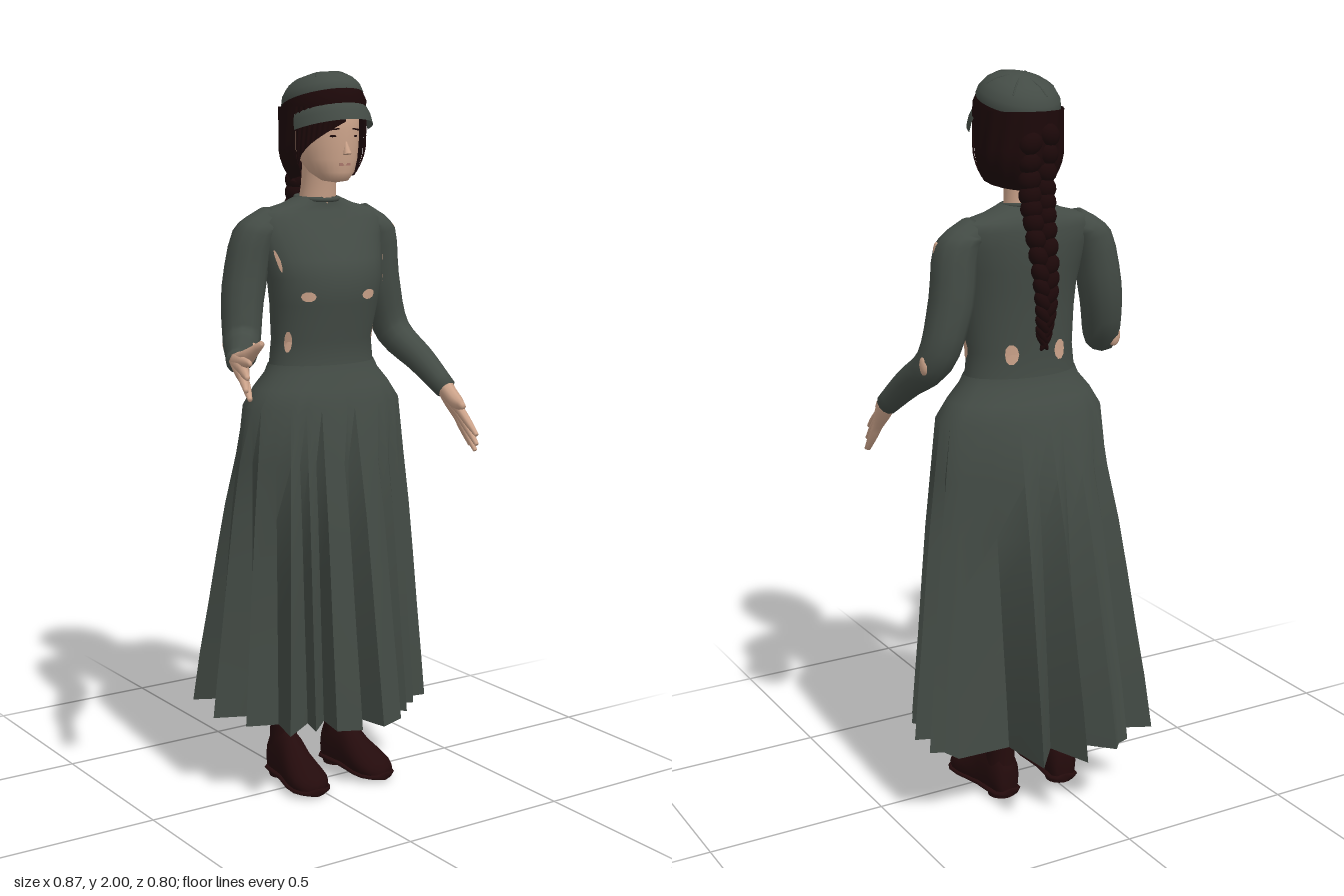
import * as THREE from 'three';
import { toCreasedNormals } from 'three/addons/utils/BufferGeometryUtils.js';
import { ParametricGeometry } from 'three/addons/geometries/ParametricGeometry.js';

const V = (x, y, z) => new THREE.Vector3(x, y, z);

function createMaterial(name, color, side = THREE.FrontSide) {
  const m = new THREE.MeshStandardMaterial({ color, side });
  m.name = name;
  return m;
}

// Skin a series of closed rings of equal length.
function loft(rings) {
  const n = rings[0].length, index = [];
  for (let i = 0; i < rings.length - 1; i++) {
    for (let j = 0; j < n; j++) {
      const k = (j + 1) % n, a = i * n + j, b = i * n + k;
      index.push(a, b, b + n, a, b + n, a + n);
    }
  }
  const geo = new THREE.BufferGeometry().setFromPoints(rings.flat());
  geo.setIndex(index);
  geo.computeVertexNormals();
  return geo;
}

// Horizontal ellipse from [y, centre x, centre z, radius x, radius z].
const ellipsePoint = ([y, cx, cz, rx, rz], a) => V(cx + rx * Math.sin(a), y, cz + rz * Math.cos(a));
const ellipse = (s, n = 28) => Array.from({ length: n }, (_, i) => ellipsePoint(s, i / n * Math.PI * 2));
const stack = (sections) => loft(sections.map((s) => ellipse(s)));

// Tapered round tube with closed ends.
function limb(points, radii, steps = 18, sides = 12) {
  const curve = new THREE.CatmullRomCurve3(points), frames = curve.computeFrenetFrames(steps);
  const rings = [];
  const ring = (i, scale) => {
    const t = i / steps, f = t * (radii.length - 1), k = Math.min(Math.floor(f), radii.length - 2);
    const r = THREE.MathUtils.lerp(radii[k], radii[k + 1], f - k) * scale, c = curve.getPoint(t);
    rings.push(Array.from({ length: sides }, (_, j) => {
      const a = j / sides * Math.PI * 2;
      return c.clone().addScaledVector(frames.normals[i], Math.cos(a) * r)
        .addScaledVector(frames.binormals[i], Math.sin(a) * r);
    }));
  };
  ring(0, 0.01);
  for (let i = 0; i <= steps; i++) ring(i, 1);
  ring(steps, 0.01);
  return loft(rings);
}

// Torso sections, from waist to neckline.
const TORSO = [
  [1.17, .075, -.04, .17, .108], [1.22, .075, -.04, .16, .1], [1.28, .075, -.04, .153, .1],
  [1.38, .078, -.03, .165, .112], [1.45, .08, -.03, .175, .117], [1.5, .08, -.042, .185, .109],
  [1.56, .08, -.06, .2, .094], [1.605, .08, -.07, .212, .08], [1.63, .08, -.075, .19, .07],
  [1.648, .078, -.07, .115, .06], [1.668, .075, -.064, .062, .055]];
function torsoPoint(a, y, lift) {
  let k = 0;
  while (k < TORSO.length - 2 && TORSO[k + 1][0] < y) k++;
  const p = TORSO[k], q = TORSO[k + 1], t = (y - p[0]) / (q[0] - p[0]);
  const s = p.map((v, i) => THREE.MathUtils.lerp(v, q[i], t));
  s[3] += lift; s[4] += lift;
  return ellipsePoint(s, a);
}

// Pleat tips at the hem: [x, z, depth of the fold after it].
const PLEATS = [
  [.10, .24, 1], [.18, .21, .72], [.23, .17, .75], [.29, .12, .78], [.36, .08, .8], [.39, .02, .8],
  [.43, -.08, .75], [.43, -.17, 1], [.36, -.205, .65], [.19, -.37, .65], [.07, -.4, .7],
  [-.04, -.37, .97], [-.1, -.33, .7], [-.2, -.3, .75], [-.19, -.18, .88], [-.26, -.08, .75],
  [-.22, .03, .8], [-.16, .165, .72], [-.08, .17, .7], [-.03, .2, 1], [.035, .23, .62]];
function skirtGeometry() {
  const cx = .085, cz = -.07, hem = [];
  PLEATS.forEach(([x, z, depth], i) => {
    const next = PLEATS[(i + 1) % PLEATS.length];
    hem.push([x, z], [cx + ((x + next[0]) / 2 - cx) * depth, cz + ((z + next[1]) / 2 - cz) * depth]);
  });
  const angles = hem.map(([x, z]) => Math.atan2((x - cx) / .34, (z - cz) / .32));
  const hip = [1.1, .08, -.045, .243, .148];
  const rings = [[1.215, .075, -.04, .163, .104], [1.19, .076, -.04, .175, .111], [1.15, .077, -.042, .21, .13], hip]
    .map((s) => angles.map((a) => ellipsePoint(s, a)));
  // the folds open out from hip to hem
  for (const [y, t] of [[.95, .2], [.8, .4], [.65, .56], [.5, .71], [.35, .87], [.22, 1]]) {
    rings.push(hem.map(([x, z], i) => {
      const p = ellipsePoint(hip, angles[i]).lerp(V(x, y, z), t);
      p.y = y + (z < -.2 && t === 1 ? -.02 : 0);
      return p;
    }));
  }
  return toCreasedNormals(loft(rings.reverse()), .7);
}

export function createModel() {
  const model = new THREE.Group();
  const cloth = createMaterial('dark green cloth', 0x434b45, THREE.DoubleSide);
  const skin = createMaterial('skin', 0xcda48b, THREE.DoubleSide);
  const hair = createMaterial('dark hair', 0x1c0809, THREE.DoubleSide);
  const leather = createMaterial('dark boot leather', 0x240b0c);
  const lip = createMaterial('lips', 0xa9766a);
  const add = (name, geo, mat, parent = model) => {
    const m = new THREE.Mesh(geo, mat);
    m.name = name;
    parent.add(m);
    return m;
  };
  const blob = (name, mat, p, s, parent = model) => {
    const m = add(name, new THREE.SphereGeometry(1, 12, 8), mat, parent);
    m.position.set(...p);
    m.scale.set(...s);
    return m;
  };

  // Dress
  add('bodice', stack(TORSO), cloth);
  add('skirt', skirtGeometry(), cloth);
  const collar = add('collar', new THREE.TorusGeometry(.059, .006, 8, 28), cloth);
  collar.rotation.x = Math.PI / 2 + .08;
  collar.position.set(.075, 1.664, -.063);

  // Sleeves
  const sleeveRadii = [.045, .06, .06, .051, .041, .031];
  add('rightSleeve', limb([V(-.06, 1.6, -.075), V(-.112, 1.58, -.075), V(-.158, 1.42, -.072),
    V(-.19, 1.283, -.03), V(-.26, 1.267, .08), V(-.335, 1.27, .19)], sleeveRadii), cloth);
  add('leftSleeve', limb([V(.22, 1.6, -.075), V(.272, 1.58, -.075), V(.304, 1.42, -.085),
    V(.345, 1.28, -.075), V(.375, 1.2, .025), V(.4, 1.125, .11)], sleeveRadii), cloth);

  // Hands: each finger runs from the wrist, so their roots form the palm
  const hand = (name, wrist, tips, thumb) => {
    const g = new THREE.Group();
    g.name = name;
    for (const t of tips) {
      const tip = V(...t), knuckle = wrist.clone().lerp(tip, .5);
      add('finger', limb([wrist, knuckle, tip], [.025, .021, .013, .011, .006], 10, 8), skin, g);
    }
    const tip = V(...thumb), middle = wrist.clone().lerp(V(...tips[0]), .28).lerp(tip, .3);
    add('thumb', limb([wrist, middle, tip], [.023, .02, .008], 8, 8), skin, g);
    model.add(g);
  };
  hand('rightHand', V(-.33, 1.27, .185), [[-.418, 1.293, .385], [-.433, 1.26, .397], [-.428, 1.227, .383],
    [-.403, 1.2, .36]], [-.35, 1.332, .33]);
  hand('leftHand', V(.4, 1.13, .105), [[.378, 1.02, .278], [.39, .99, .265], [.405, .968, .24],
    [.416, .977, .205]], [.345, 1.1, .258]);

  // Skin showing through gaps in the bodice and sleeves
  for (const [a, y, da, dy] of [[-.7, 1.405, .14, .014], [.45, 1.405, .16, .014], [-1.1, 1.28, .1, .03],
    [1.15, 1.48, .06, .05], [-1.15, 1.5, .05, .03], [2.65, 1.28, .13, .028], [3.6, 1.28, .13, .028],
    [1.45, 1.29, .15, .03]]) {
    add('bodiceGap', new ParametricGeometry((u, v, p) => {
      const w = u * Math.PI * 2;
      p.copy(torsoPoint(a + da * v * Math.cos(w), y + dy * v * Math.sin(w), .004));
    }, 10, 3), skin);
  }
  blob('sleeveGap', skin, [.331, 1.555, -.062], [.008, .03, .013]);
  blob('sleeveGap', skin, [.384, 1.272, -.085], [.012, .028, .018]);
  blob('sleeveGap', skin, [-.214, 1.287, .062], [.01, .008, .045]).rotation.y = -.6;
  blob('sleeveGap', skin, [-.207, 1.28, -.068], [.02, .03, .012]);

  // Head and neck
  add('neck', stack([[1.62, .075, -.065, .056, .052], [1.7, .075, -.055, .047, .05],
    [1.78, .075, -.04, .05, .055]]), skin);
  add('face', stack([[1.708, .075, .03, .003, .003], [1.713, .075, .026, .035, .036], [1.735, .075, .01, .061, .062],
    [1.77, .075, -.008, .077, .084], [1.81, .075, -.018, .084, .098], [1.85, .075, -.02, .086, .101],
    [1.9, .075, -.025, .085, .105], [1.95, .075, -.03, .06, .08]]), skin);
  const nose = add('nose', new THREE.ConeGeometry(.012, .045, 8), skin);
  nose.position.set(.075, 1.806, .08);
  nose.rotation.x = -.2;
  add('mouth', new THREE.BoxGeometry(.034, .007, .008), lip).position.set(.075, 1.757, .07);
  for (const s of [-1, 1]) {
    const eye = blob('eye', hair, [.075 + s * .034, 1.832, .069], [.011, .004, .004]);
    eye.rotation.y = s * .35;
    const brow = add('eyebrow', new THREE.BoxGeometry(.028, .004, .006), hair);
    brow.position.set(.075 + s * .034, 1.85, .071);
    brow.rotation.set(0, s * .35, s * -.1);
  }

  // Hair: shell around the back, with locks beside the face
  const hairShell = (name, a0, a1, bottom) => add(name, new ParametricGeometry((u, v, p) => {
    const a = a0 + (a1 - a0) * u, y = 1.91 + (bottom(u) - 1.91) * v;
    const r = 1 - Math.pow(Math.max(0, (1.81 - y) / .1), 2) * .3;
    const ripple = 1 + .014 * Math.cos(u * 60 + v * 5);
    p.set(.075 + .117 * r * ripple * Math.sin(a), y, -.037 + .123 * r * ripple * Math.cos(a));
  }, 40, 10), hair);
  hairShell('backHair', 1.25, Math.PI * 2 - 1.25, (u) => 1.725 - .02 * Math.sin(u * Math.PI));
  hairShell('fringe', -1.25, -.05, (u) => 1.735 + .135 * Math.sqrt(u));
  hairShell('sideLock', .9, 1.25, (u) => 1.86 - .13 * u);

  // Cap, tilted back, with a strip of hair between crown and brim
  const cap = new THREE.Group();
  cap.name = 'cap';
  cap.position.set(.075, 1.9, -.03);
  cap.rotation.x = -.26;
  cap.scale.z = 1.12;
  model.add(cap);
  const lathe = (name, pts, mat, start = 0, length = Math.PI * 2) =>
    add(name, new THREE.LatheGeometry(pts.map((p) => new THREE.Vector2(...p)), 28, start, length), mat, cap);
  lathe('capCrown', [[.105, .025], [.109, .03], [.104, .05], [.089, .071], [.066, .086], [.032, .097], [0, .1]], cloth);
  lathe('hairStrip', [[.108, -.02], [.114, .005], [.107, .031]], hair);
  lathe('capBrim', [[.122, -.06], [.119, -.034], [.113, -.016], [.106, -.008]], cloth, -1.4, 2.8);
  for (let i = 0; i < 6; i++) {
    const a = i * Math.PI / 3 + .3;
    const seam = [[.028, .096], [.064, .086], [.089, .07]].map(([r, y]) => V(r * Math.sin(a), y, r * Math.cos(a)));
    add('capSeam', limb(seam, [.0025, .0025], 8, 6), cloth, cap);
  }

  // Braid: paired lobes along a curve, gathered wide at the nape
  const braidPath = new THREE.CatmullRomCurve3([V(.075, 1.85, -.145), V(.075, 1.72, -.135), V(.075, 1.62, -.15),
    V(.075, 1.5, -.178), V(.078, 1.4, -.188), V(.08, 1.32, -.18)]);
  const braid = new THREE.Group();
  braid.name = 'braid';
  model.add(braid);
  for (let i = 0; i < 15; i++) {
    const t = i / 14, r = THREE.MathUtils.lerp(.043, .011, Math.pow(t, 1.3));
    for (const s of [-1, 1]) {
      const p = braidPath.getPoint(Math.min(1, t + (s > 0 ? .03 : 0)));
      blob('braidLobe', hair, [p.x + s * r * .55, p.y, p.z], [r * .85, .031, Math.min(r, .034) * .8], braid).rotation.z = -s * .6;
    }
  }

  // Boots and shins; foot sections are [z, half width, height]
  const solid = (sections, grow, low, curve) => loft(sections.map(([z, w, h]) => Array.from({ length: 16 }, (_, i) => {
    const a = i / 16 * Math.PI * 2;
    return V(w * grow * Math.cos(a), low + curve(h, Math.sin(a)), z * (1 + (grow - 1) * .3));
  })));
  const footSections = [[-.137, 0, .05], [-.136, .025, .08], [-.122, .04, .12], [-.08, .043, .145], [-.035, .043, .13],
    [.005, .049, .095], [.045, .056, .073], [.08, .055, .057], [.105, .043, .043], [.118, .025, .028], [.122, 0, .018]];
  for (const [side, x, yaw] of [['right', -.03, -.1], ['left', .178, .1]]) {
    const boot = new THREE.Group();
    boot.name = side + 'Boot';
    boot.position.x = x;
    boot.rotation.y = yaw;
    model.add(boot);
    add('bootFoot', solid(footSections, 1, .014, (h, s) => h * Math.max(0, .35 + .65 * s)), leather, boot);
    add('bootSole', solid(footSections, 1.1, .006, (h, s) => .011 + .011 * s), leather, boot);
    add('bootHeel', new THREE.CylinderGeometry(.041, .039, .02, 16), leather, boot).position.set(0, .01, -.095);
    add('bootShaft', stack([[.08, 0, -.088, .04, .047], [.15, 0, -.09, .037, .042], [.22, 0, -.09, .04, .043],
      [.3, 0, -.09, .045, .05], [.31, 0, -.09, .03, .03]]), leather, boot);
    add('shin', stack([[.28, 0, -.09, .036, .04], [.4, 0, -.085, .045, .05], [.7, 0, -.06, .06, .065]]), skin, boot);
  }
  return model;
}
